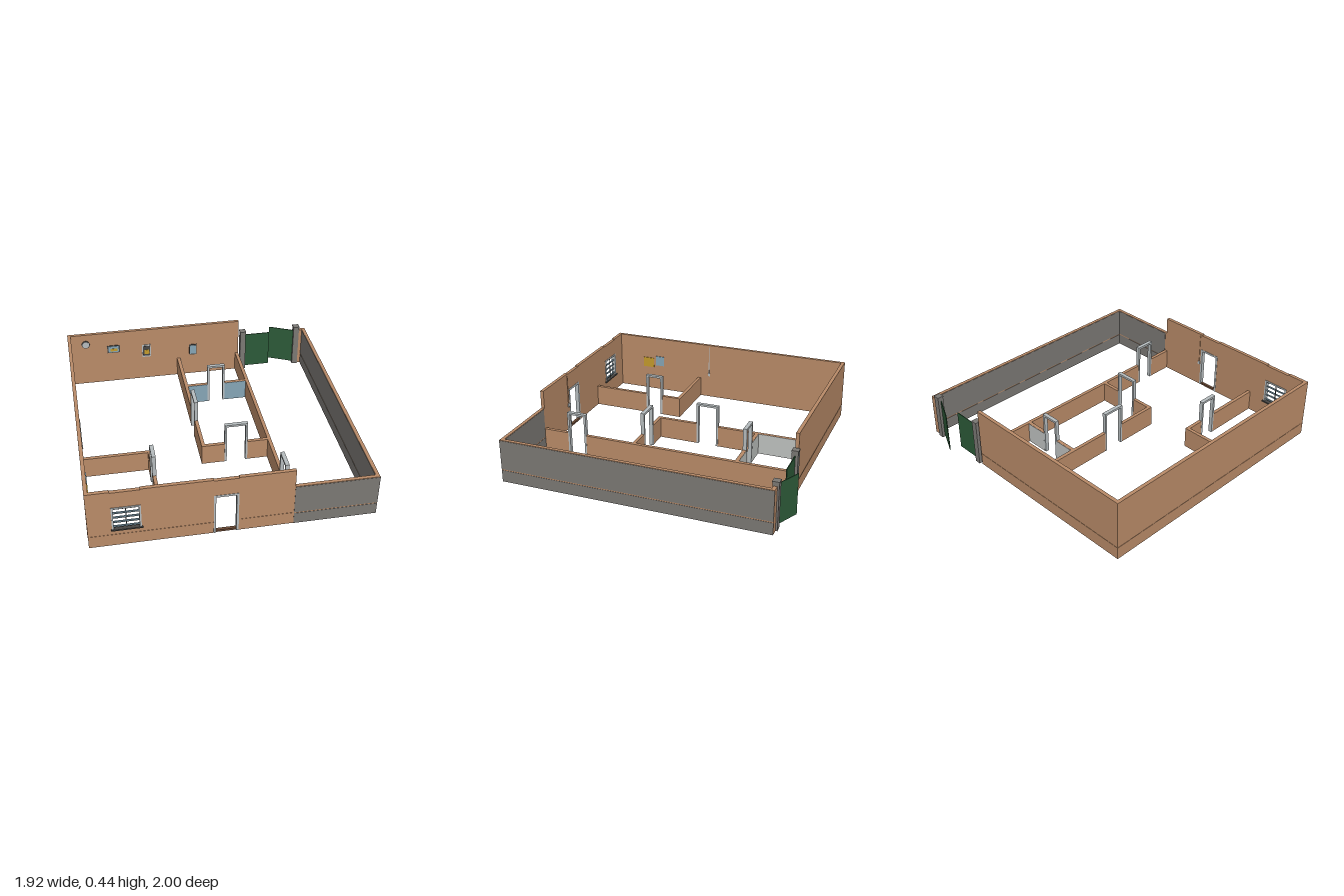
import * as THREE from 'three';

const mat = (name, color, side = THREE.FrontSide) => {
  const m = new THREE.MeshStandardMaterial({ color, side });
  m.name = name;
  return m;
};

export function createModel() {
  const root = new THREE.Group();
  root.name = 'house';
  const tan = mat('tanPlaster', 0xb98b68);
  const grey = mat('greyRender', 0x7b7874);
  const frame = mat('paleFrame', 0xb6bcbe);
  const green = mat('gateGreen', 0x2c5a38);
  const blue = mat('blueTile', 0x85a5b6);
  const tile = mat('paleTile', 0xbfc2c0);
  const dark = mat('darkTrim', 0x474644);
  const yellow = mat('yellow', 0xc49a2c);
  const brown = mat('brownThreshold', 0x6b4a35);

  // Box given by its limits on each axis
  const box = (name, m, x0, x1, y0, y1, z0, z1, parent = root) => {
    const mesh = new THREE.Mesh(new THREE.BoxGeometry(x1 - x0, y1 - y0, z1 - z0), m);
    mesh.position.set((x0 + x1) / 2, (y0 + y1) / 2, (z0 + z1) / 2);
    mesh.name = name;
    parent.add(mesh);
    return mesh;
  };

  const H = 0.445, YARD = 0.313, LOW = 0.155, DOOR = 0.317;
  const X0 = -0.956, X1 = 0.956, Z0 = -0.925, Z1 = 0.99, T = 0.025;
  const ZF = Z1 - T, ZB = Z0 + T, XE = 0.389;

  // Tall house walls, with openings for the front window and door
  box('leftWall', tan, X0, X0 + T, 0, H, Z0, Z1);
  box('backWall', tan, X0 + T, 0.402, 0, H, Z0, ZB);
  const win = [-0.8, -0.61, 0.135, DOOR], door = [-0.145, 0.02];
  box('frontWall', tan, X0 + T, win[0], 0, H, ZF, Z1);
  box('frontWall', tan, win[1], door[0], 0, H, ZF, Z1);
  box('frontWall', tan, door[1], XE, 0, H, ZF, Z1);
  box('windowApron', tan, win[0], win[1], 0, win[2], ZF, Z1);
  box('windowLintel', tan, win[0], win[1], win[3], H - 0.006, ZF, Z1);
  box('doorLintel', tan, door[0], door[1], DOOR, H - 0.006, ZF, Z1);

  // Yard walls: tan core with grey facing on both sides
  box('yardFrontWall', tan, XE, X1 - T, 0, YARD, ZF, Z1);
  box('yardSideWall', tan, X1 - T, X1, 0, YARD, Z0, Z1);
  box('yardBackStub', tan, 0.9, X1 - T, 0, YARD, Z0, ZB);
  for (const [a, b] of [[0, 0.086], [0.094, YARD - 0.004]]) {
    box('yardFrontFacing', grey, XE, X1, a, b, Z1, Z1 + 0.002);
    box('yardFrontInnerFacing', grey, 0.403, X1 - T, a, b, ZF - 0.002, ZF);
    box('yardSideFacing', grey, X1, X1 + 0.002, a, b, Z0, Z1);
    box('yardSideInnerFacing', grey, X1 - T - 0.002, X1 - T, a, b, ZB, ZF);
  }

  // Slim ledge around the outside of the house
  box('ledge', tan, X0 - 0.002, X0, 0.088, 0.093, Z0, Z1);
  box('ledge', tan, X0, 0.402, 0.088, 0.093, Z0 - 0.002, Z0);
  box('ledge', tan, X0, door[0], 0.088, 0.093, Z1, Z1 + 0.002);
  box('ledge', tan, door[1], XE, 0.088, 0.093, Z1, Z1 + 0.002);

  // Door frame: two posts and a head, along the x or z axis
  const doorFrame = (axis, c, a, b, w = 0.028) => {
    const g = new THREE.Group();
    g.name = 'doorFrame';
    const part = (s, e, y0, y1) => axis === 'x'
      ? box('framePart', frame, s, e, y0, y1, c - w / 2, c + w / 2, g)
      : box('framePart', frame, c - w / 2, c + w / 2, y0, y1, s, e, g);
    part(a, a + 0.015, 0, DOOR - 0.015);
    part(b - 0.015, b, 0, DOOR - 0.015);
    part(a, b, DOOR - 0.015, DOOR);
    root.add(g);
  };

  // Low inner partition, with an optional doorway from d0 to d1
  const partition = (axis, c, a, b, d0, d1) => {
    const spans = d0 === undefined ? [[a, b]] : [[a, d0], [d1, b]];
    for (const [s, e] of spans) {
      if (axis === 'x') box('partition', tan, s, e, 0, LOW, c - T / 2, c + T / 2);
      else box('partition', tan, c - T / 2, c + T / 2, 0, LOW, s, e);
    }
    if (d0 !== undefined) doorFrame(axis, c, d0, d1);
  };
  partition('z', XE, ZB, ZF, 0.63, 0.775);
  partition('z', -0.088, ZB, 0.278, -0.2, -0.033);
  partition('z', -0.47, 0.253, ZF, 0.4, 0.535);
  partition('x', -0.496, -0.0755, 0.3765, 0.075, 0.21);
  partition('x', 0.265, -0.0755, 0.3765, 0.065, 0.23);
  partition('x', 0.265, X0 + T, -0.4825);
  doorFrame('x', Z1 - T / 2, door[0], door[1], 0.03);
  box('threshold', brown, door[0] + 0.015, door[1] - 0.015, 0, 0.015, ZF, Z1 - 0.004);

  // Tiled faces around the rear rooms
  for (const [a, b] of [[-0.075, 0.075], [0.21, 0.376]]) {
    box('blueTiling', blue, a, b, 0, LOW - 0.001, -0.4835, -0.4815);
    box('paleTiling', tile, a, b, 0, LOW - 0.001, -0.5105, -0.5085);
  }
  box('paleTiling', tile, -0.0755, -0.0735, 0, LOW - 0.001, ZB, -0.511);

  // Front window: frame, sill, slats and mullion
  const [wx0, wx1, wy0, wy1] = win;
  const wz0 = ZF - 0.003, wz1 = Z1 + 0.004;
  box('windowFrame', frame, wx0, wx0 + 0.012, wy0, wy1, wz0, wz1);
  box('windowFrame', frame, wx1 - 0.012, wx1, wy0, wy1, wz0, wz1);
  box('windowFrame', frame, wx0 + 0.012, wx1 - 0.012, wy1 - 0.012, wy1, wz0, wz1);
  box('windowSill', dark, wx0 - 0.008, wx1 + 0.008, wy0 - 0.007, wy0 + 0.003, ZF - 0.01, 1);
  for (let i = 0; i < 5; i++) {
    const y = 0.153 + i * 0.037;
    box('windowSlat', blue, wx0 + 0.012, wx1 - 0.012, y - 0.004, y + 0.004, 0.974, 0.982);
    box('windowBar', dark, wx0 + 0.012, wx1 - 0.012, y - 0.006, y - 0.004, 0.974, 0.984);
  }
  box('windowMullion', dark, -0.708, -0.702, wy0, wy1 - 0.012, 0.97, 0.974);

  // Gate posts with caps, one closed leaf and one swung open
  for (const x of [0.44, 0.882]) {
    box('gatePost', grey, x - 0.022, x + 0.022, 0, 0.335, -0.937, -0.893);
    box('gatePostCap', grey, x - 0.024, x + 0.024, 0.335, 0.345, -0.939, -0.891);
  }
  box('closedGateLeaf', green, 0.462, 0.66, 0.015, 0.308, -0.918, -0.912);
  const leaf = new THREE.Group();
  leaf.name = 'openGateLeaf';
  leaf.position.set(0.862, 0, -0.912);
  leaf.rotation.y = -Math.atan2(0.086, 0.18);
  box('leafPanel', green, -0.2, 0, 0.015, 0.308, -0.003, 0.003, leaf);
  leaf.rotation.y *= -1;
  leaf.scale.x = 1;
  leaf.rotation.y = -leaf.rotation.y;
  root.add(leaf);

  // Clock and framed panels on the back wall
  const clock = (name, m, r, d) => {
    const c = new THREE.Mesh(new THREE.CylinderGeometry(r, r, d, 24), m);
    c.rotation.x = Math.PI / 2;
    c.position.set(-0.82, 0.36, ZB + d / 2);
    c.name = name;
    root.add(c);
  };
  clock('clockRim', dark, 0.032, 0.006);
  clock('clockFace', frame, 0.027, 0.008);
  const picture = (x, y, w, h, rim, inner, accent) => {
    box('pictureFrame', rim, x - w / 2, x + w / 2, y - h / 2, y + h / 2, ZB, ZB + 0.005);
    box('pictureFace', inner, x - w * 0.4, x + w * 0.4, y - h * 0.4, y + h * 0.4, ZB, ZB + 0.007);
    if (accent) box('pictureAccent', accent, x - w * 0.25, x + w * 0.3, y - h * 0.25, y + h * 0.1, ZB, ZB + 0.009);
  };
  picture(-0.605, 0.298, 0.1, 0.065, dark, blue, yellow);
  picture(-0.345, 0.255, 0.07, 0.11, frame, dark, yellow);
  picture(0.03, 0.226, 0.06, 0.095, dark, blue);

  // Panels in the left front room
  const lx = X0 + T;
  box('wallPanel', yellow, lx, lx + 0.006, 0.19, 0.27, 0.67, 0.76);
  box('wallPanel', blue, lx, lx + 0.006, 0.21, 0.29, 0.58, 0.65);

  // Switches with conduits running up the walls
  box('conduit', frame, lx, lx + 0.004, 0.2, 0.43, 0.178, 0.183);
  box('switchPlate', frame, lx, lx + 0.006, 0.18, 0.205, 0.172, 0.189);
  box('conduit', tan, 0.033, 0.038, 0.2, 0.43, ZF - 0.004, ZF);
  box('switchPlate', frame, 0.027, 0.044, 0.18, 0.205, ZF - 0.006, ZF);

  return root;
}
